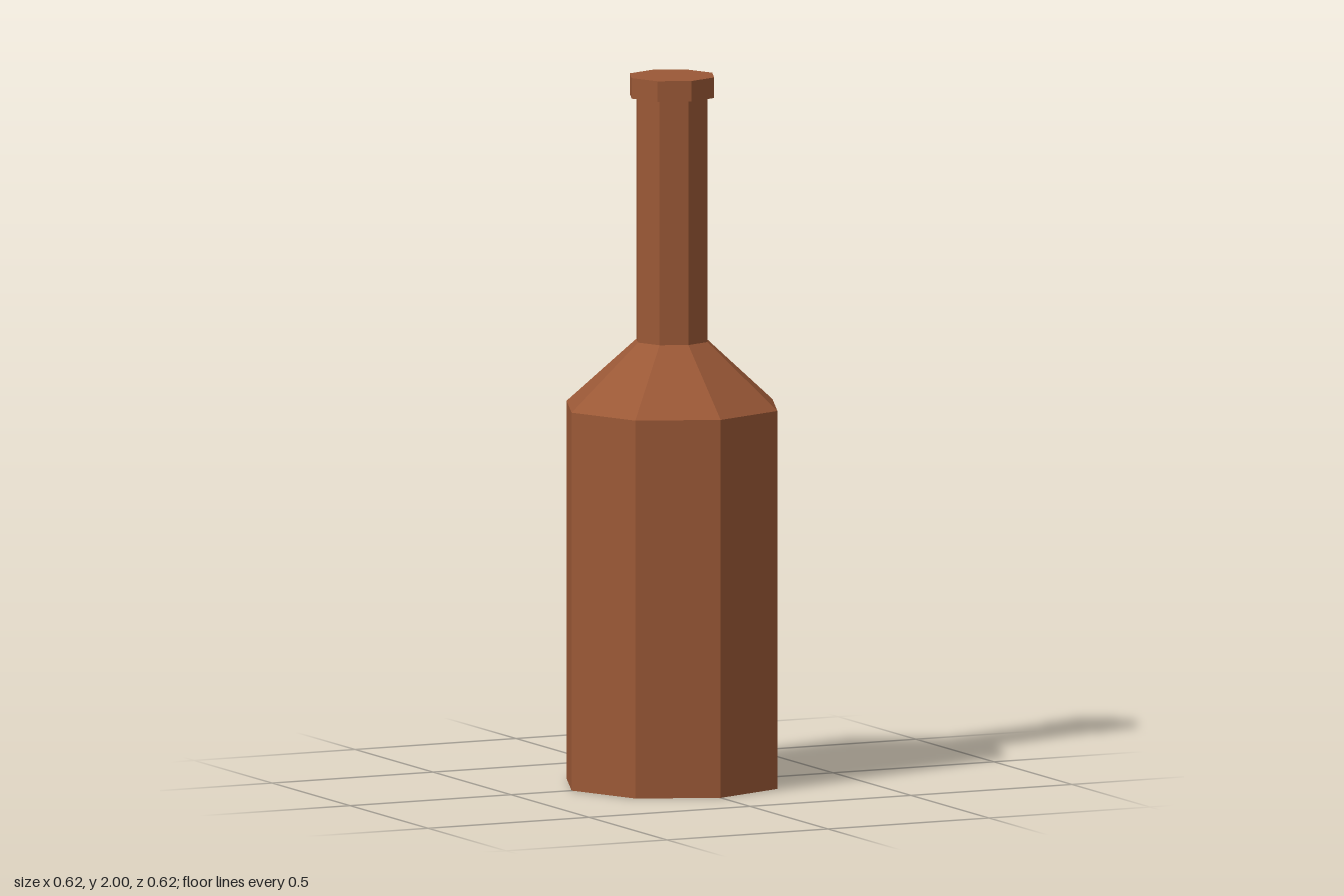
import * as THREE from 'three';

const SIDES = 8;

export function createModel() {
  const group = new THREE.Group();
  group.name = 'bottle';
  const glass = new THREE.MeshStandardMaterial({ color: 0x9a5836, flatShading: true });

  // One faceted section of the bottle, with a corner facing +z
  const section = (name, rBottom, rTop, y0, y1, open) => {
    const geometry = new THREE.CylinderGeometry(rTop, rBottom, y1 - y0, SIDES, 1, open);
    geometry.translate(0, (y0 + y1) / 2, 0);
    const mesh = new THREE.Mesh(geometry, glass);
    mesh.name = name;
    group.add(mesh);
  };

  // Body with its base; the top is closed by the shoulder
  const body = new THREE.LatheGeometry(
    [[0, 0], [0.312, 0], [0.312, 1.067]].map(([r, y]) => new THREE.Vector2(r, y)), SIDES);
  const bodyMesh = new THREE.Mesh(body, glass);
  bodyMesh.name = 'body';
  group.add(bodyMesh);

  section('shoulder', 0.312, 0.105, 1.067, 1.252, true);
  section('neck', 0.105, 0.105, 1.252, 1.942, true);
  // Lip: a wider ring with a closed top
  section('lip', 0.125, 0.125, 1.942, 2, false);

  return group;
}
